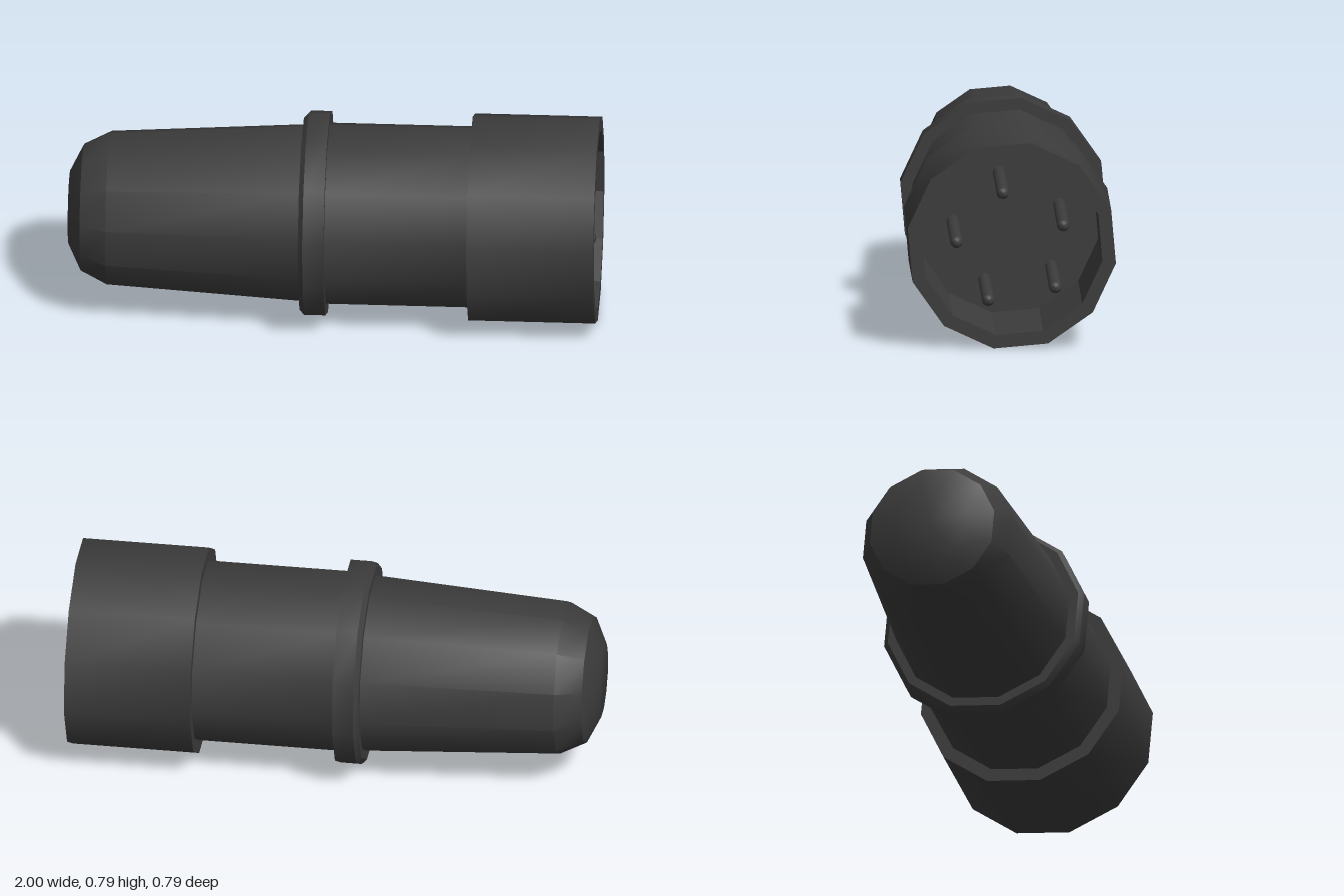
import * as THREE from 'three';
import { toCreasedNormals } from 'three/addons/utils/BufferGeometryUtils.js';

const AXIS_Y = 0.394;
const TWIST = -THREE.MathUtils.degToRad(10);

export function createModel() {
  const group = new THREE.Group();
  const material = new THREE.MeshStandardMaterial({ color: 0x3c3c3c });

  // Revolves [radius, x] points around the x axis
  function turned(name, profile, sides, crease) {
    const points = profile.map(([r, x]) => new THREE.Vector2(r, x));
    const geometry = new THREE.LatheGeometry(points, sides);
    geometry.rotateZ(-Math.PI / 2).rotateX(TWIST);
    const mesh = new THREE.Mesh(toCreasedNormals(geometry, crease), material);
    mesh.name = name;
    mesh.position.y = AXIS_Y;
    group.add(mesh);
    return mesh;
  }

  // Tapered rear shell with a blunt rounded end
  turned('rearShell', [[0, -1], [0.142, -1], [0.245, -0.95], [0.296, -0.85], [0.341, -0.11]], 12, 0.6);

  // Raised collar with a bevelled rear edge
  turned('collar', [[0.335, -0.118], [0.375, -0.118], [0.394, -0.1], [0.394, -0.02], [0.34, -0.02]], 12, 0.6);

  // Straight middle barrel
  turned('barrel', [[0.349, -0.02], [0.349, 0.52]], 12, 0.6);

  // Wider front sleeve with its rim
  turned('frontSleeve', [[0.345, 0.52], [0.399, 0.52], [0.399, 1], [0.347, 1]], 12, 0.6);

  // Hollow inside of the sleeve, with a flat floor
  turned('socket', [[0.347, 1], [0.347, 0.5], [0, 0.5]], 12, 0.3);

  // Five contact pins, placed by [z, y from the axis]
  const pinSpots = [[0.033, 0.196], [-0.195, 0.071], [-0.165, -0.166], [0.088, -0.214], [0.208, 0.009]];
  const pinProfile = [[0.024, 0.5], [0.024, 0.96], [0.021, 0.972], [0.012, 0.98], [0, 0.982]];
  for (const [z, y] of pinSpots) {
    const pin = turned('contactPin', pinProfile, 10, 0.7);
    pin.position.set(0, AXIS_Y + y, z);
  }

  return group;
}
